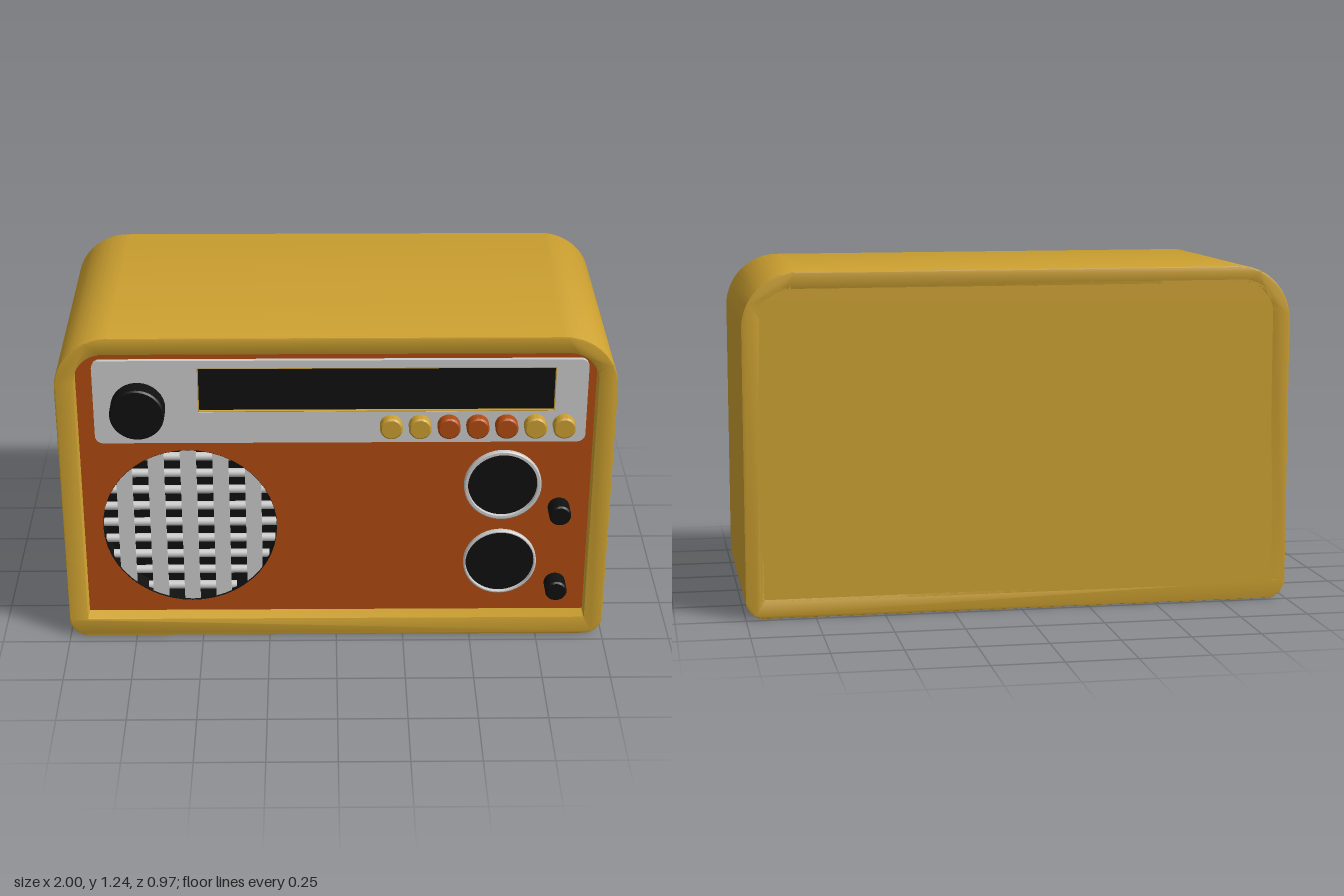
import * as THREE from 'three';
import { toCreasedNormals } from 'three/addons/utils/BufferGeometryUtils.js';

const GOLD = 0xcca030, ORANGE = 0xb24a10, BLACK = 0x101010, SILVER = 0xcccccc;
const materials = {};
function mat(color) {
  return (materials[color] ??= new THREE.MeshStandardMaterial({ color, side: THREE.DoubleSide }));
}

// Rectangle outline with separate top and bottom corner radii
function roundedRect(x0, x1, y0, y1, rTop, rBottom, Type = THREE.Shape) {
  const s = new Type();
  s.moveTo(x0 + rBottom, y0);
  s.lineTo(x1 - rBottom, y0);
  s.absarc(x1 - rBottom, y0 + rBottom, rBottom, -Math.PI / 2, 0, false);
  s.lineTo(x1, y1 - rTop);
  s.absarc(x1 - rTop, y1 - rTop, rTop, 0, Math.PI / 2, false);
  s.lineTo(x0 + rTop, y1);
  s.absarc(x0 + rTop, y1 - rTop, rTop, Math.PI / 2, Math.PI, false);
  s.lineTo(x0, y0 + rBottom);
  s.absarc(x0 + rBottom, y0 + rBottom, rBottom, Math.PI, Math.PI * 1.5, false);
  return s;
}

function circle(x, y, r) {
  return new THREE.Path().absarc(x, y, r, 0, Math.PI * 2, false);
}

export function createModel() {
  const radio = new THREE.Group();
  radio.name = 'radio';

  function add(name, geometry, color, x = 0, y = 0, z = 0, parent = radio) {
    const mesh = new THREE.Mesh(geometry, mat(color));
    mesh.name = name;
    mesh.position.set(x, y, z);
    parent.add(mesh);
    return mesh;
  }

  // Extrudes a shape from z0 to z1, with an optional fine bevel
  function slab(name, shape, z0, z1, color, bevel = 0) {
    const geometry = new THREE.ExtrudeGeometry(shape, {
      depth: z1 - z0 - 2 * bevel, curveSegments: 24, bevelEnabled: bevel > 0,
      bevelThickness: bevel, bevelSize: bevel, bevelOffset: -bevel, bevelSegments: 2,
    });
    return add(name, toCreasedNormals(geometry, 0.6), color, 0, 0, z0 + bevel);
  }

  // Round part facing forward, turned from [radius, z] points
  function turned(name, points, color, x, y, parent = radio) {
    const profile = points.map(([r, z]) => new THREE.Vector2(r, z));
    const geometry = toCreasedNormals(new THREE.LatheGeometry(profile, 48).rotateX(Math.PI / 2), 0.6);
    return add(name, geometry, color, x, y, 0, parent);
  }

  function knob(name, r, z1, color, x, y) {
    const b = 0.006;
    turned(name, [[r, 0.38], [r, z1 - b], [r - b, z1], [0, z1]], color, x, y);
  }

  // Cabinet: a shell around the front recess, filled from the back
  const shell = roundedRect(-1, 1, 0, 1.24, 0.2, 0.07);
  shell.holes.push(roundedRect(-0.93, 0.93, 0.075, 1.175, 0.11, 0.004, THREE.Path));
  slab('cabinetShell', shell, -0.483, 0.461, GOLD, 0.005);
  slab('cabinetBack', roundedRect(-0.945, 0.945, 0.06, 1.19, 0.12, 0.01), -0.483, 0.3, GOLD);

  // Recessed front panel with the speaker opening
  const speaker = { x: -0.54, y: 0.44, r: 0.322 };
  const panel = roundedRect(-0.932, 0.932, 0.073, 1.177, 0.11, 0.004);
  panel.holes.push(circle(speaker.x, speaker.y, speaker.r));
  slab('frontPanel', panel, 0.3, 0.4, ORANGE);

  // Speaker: dark cavity behind a woven grille
  const grille = new THREE.Group();
  grille.name = 'speakerGrille';
  radio.add(grille);
  turned('speakerCavity', [[0, 0.325], [speaker.r - 0.001, 0.325], [speaker.r - 0.001, 0.4]],
    BLACK, speaker.x, speaker.y, grille);
  const chord = (d) => 2 * Math.sqrt(Math.max(0, speaker.r ** 2 - d ** 2));
  for (let i = -2; i <= 2; i++) {
    const d = i * 0.118;
    const length = chord(Math.max(0, Math.abs(d) - 0.029));
    add('verticalSlat', new THREE.BoxGeometry(0.058, length, 0.014), SILVER,
      speaker.x + d, speaker.y, 0.383, grille);
  }
  for (let i = -4; i <= 4; i++) {
    const d = i * 0.069;
    const bar = new THREE.CylinderGeometry(0.016, 0.016, chord(d), 16).rotateZ(Math.PI / 2);
    add('horizontalBar', bar, SILVER, speaker.x, speaker.y + d, 0.362, grille);
  }

  // Control plate with a gold-edged tuning window
  const plate = roundedRect(-0.87, 0.9, 0.8, 1.13, 0.03, 0.03);
  plate.holes.push(roundedRect(-0.495, 0.785, 0.925, 1.1, 0.002, 0.002, THREE.Path));
  slab('controlPlate', plate, 0.39, 0.416, SILVER);
  const windowEdge = roundedRect(-0.496, 0.786, 0.924, 1.101, 0.002, 0.002);
  windowEdge.holes.push(roundedRect(-0.492, 0.782, 0.928, 1.097, 0.002, 0.002, THREE.Path));
  slab('windowEdge', windowEdge, 0.39, 0.415, GOLD);
  add('tuningWindow', new THREE.BoxGeometry(1.28, 0.175, 0.02), BLACK, 0.145, 1.0125, 0.393);

  // Knobs and the row of push buttons
  knob('tuningKnob', 0.098, 0.483, BLACK, -0.71, 0.946);
  for (const y of [0.517, 0.192]) knob('smallKnob', 0.04, 0.471, BLACK, 0.82, y);
  for (let i = 0; i < 7; i++) {
    const color = i >= 2 && i <= 4 ? ORANGE : GOLD;
    knob('pushButton', 0.041, 0.455, color, 0.198 + i * 0.1037, 0.871);
  }

  // Round dials with raised rims
  for (const [y, r] of [[0.616, 0.142], [0.289, 0.136]]) {
    turned('dialRim', [[r, 0.38], [r, 0.413], [r - 0.004, 0.417], [0.128, 0.417], [0.126, 0.38]],
      SILVER, 0.61, y);
    turned('dialFace', [[0.1265, 0.38], [0.1265, 0.404], [0, 0.404]], BLACK, 0.61, y);
  }

  return radio;
}
